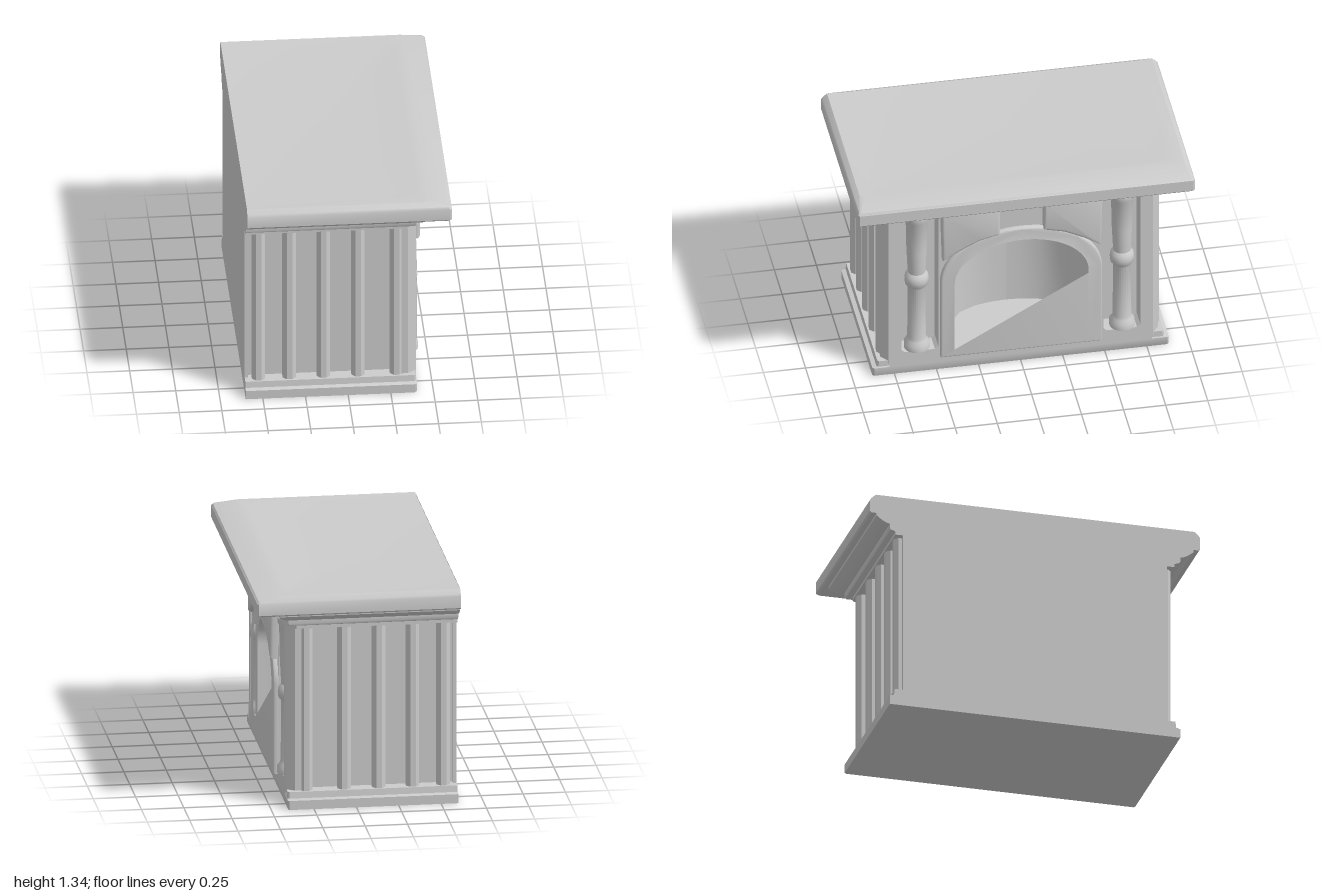
import * as THREE from 'three';
import { toCreasedNormals } from 'three/addons/utils/BufferGeometryUtils.js';

const material = new THREE.MeshStandardMaterial({ color: 0xcccccc });
const innerMaterial = new THREE.MeshStandardMaterial({ color: 0xcccccc, side: THREE.DoubleSide });

// Stack of flat-backed outlines, each [front x, half width z, y, corner bevel].
function stack(rings, topY) {
  const BACK = -0.6, n = 6, pos = [], index = [];
  for (const [xf, zh, y, b = 0.01] of rings) {
    pos.push(BACK, y, zh, xf - b, y, zh, xf, y, zh - b);
    pos.push(xf, y, b - zh, xf - b, y, -zh, BACK, y, -zh);
  }
  for (let r = 0; r < rings.length - 1; r++) {
    for (let i = 0; i < n; i++) {
      const a = r * n + i, b = r * n + (i + 1) % n;
      index.push(a, b, b + n, a, b + n, a + n);
    }
  }
  const last = (rings.length - 1) * n, low = rings.length * n, high = low + 1;
  pos.push(-0.1, rings[0][2], 0, -0.1, topY, 0);
  for (let i = 0; i < n; i++) {
    const j = (i + 1) % n;
    index.push(low, j, i, high, last + i, last + j);
  }
  const g = new THREE.BufferGeometry();
  g.setAttribute('position', new THREE.Float32BufferAttribute(pos, 3));
  g.setIndex(index);
  return toCreasedNormals(g, 0.6);
}

// Outline of the arched opening in the front plane.
function tracArch(path, half, bottom, spring, rise) {
  path.moveTo(-half, bottom);
  path.lineTo(-half, spring);
  path.absellipse(0, spring, half, rise, Math.PI, 0, true);
  path.lineTo(half, bottom);
  return path;
}
const opening = () => tracArch(new THREE.Path(), 0.41, 0.1, 0.62, 0.28);

function polygon(points, Type = THREE.Shape) {
  return new Type(points.map(([x, y]) => new THREE.Vector2(x, y)));
}

function rectangle(x0, x1, y0, y1, Type) {
  return polygon([[x0, y0], [x1, y0], [x1, y1], [x0, y1]], Type);
}

// Rectangle with clipped corners, for the column recesses.
function clippedRectangle(x0, x1, y0, y1, c) {
  return polygon([[x0 + c, y0], [x1 - c, y0], [x1, y0 + c], [x1, y1 - c],
    [x1 - c, y1], [x0 + c, y1], [x0, y1 - c], [x0, y0 + c]], THREE.Path);
}

// Extrude a front-plane shape from x0 to x1, optionally with a soft front edge.
function extrudeFront(shape, x0, x1, bevel = 0) {
  const g = new THREE.ExtrudeGeometry(shape, {
    depth: x1 - x0 - bevel, curveSegments: 32, bevelEnabled: bevel > 0,
    bevelSize: bevel, bevelThickness: bevel, bevelOffset: -bevel, bevelSegments: 3,
  });
  g.rotateY(Math.PI / 2);
  g.translate(x0, 0, 0);
  return toCreasedNormals(g, 0.7);
}

// Rounded niche: the arch outline narrows toward the back like an apse.
function nicheGeometry() {
  const outline = tracArch(new THREE.Path(), 0.409, 0.1, 0.62, 0.279).getPoints(32);
  const steps = [[0, 1, 1], [0.12, 1, 1], [0.22, 0.96, 0.98], [0.32, 0.86, 0.94],
    [0.4, 0.7, 0.9], [0.45, 0.45, 0.87], [0.47, 0.2, 0.86], [0.475, 0, 0.86]];
  const pos = [], index = [], n = outline.length;
  for (const [depth, wide, tall] of steps)
    for (const p of outline) pos.push(0.4 - depth, 0.1 + (p.y - 0.1) * tall, -p.x * wide);
  for (let s = 0; s < steps.length - 1; s++) {
    for (let i = 0; i < n - 1; i++) {
      const a = s * n + i;
      index.push(a, a + 1, a + n, a + 1, a + n + 1, a + n);
    }
  }
  const g = new THREE.BufferGeometry();
  g.setAttribute('position', new THREE.Float32BufferAttribute(pos, 3));
  g.setIndex(index);
  g.computeVertexNormals();
  return g;
}

export function createModel() {
  const model = new THREE.Group();
  const add = (name, geometry, mat = material) => {
    const mesh = new THREE.Mesh(geometry, mat);
    mesh.name = name;
    model.add(mesh);
    return mesh;
  };

  // Stepped base
  add('base', stack([[0.4, 0.88, 0], [0.405, 0.88, 0.01], [0.405, 0.88, 0.055],
    [0.4, 0.855, 0.062], [0.4, 0.85, 0.1]], 0.1));

  // Body core and flat back
  const core = rectangle(-0.77, 0.77, 0.05, 1.16);
  core.holes.push(opening());
  add('bodyCore', extrudeFront(core, -0.58, 0.29));
  add('backPanel', new THREE.BoxGeometry(0.02, 1.2, 1.6)).position.set(-0.59, 0.65, 0);

  // Front wall with the arch and two column recesses
  const wall = rectangle(-0.78, 0.78, 0.05, 1.16);
  wall.holes.push(opening());
  for (const s of [-1, 1]) wall.holes.push(clippedRectangle(s * 0.6 - 0.11, s * 0.6 + 0.11, 0.15, 1.11, 0.02));
  add('frontWall', extrudeFront(wall, 0.29, 0.405));
  add('niche', nicheGeometry(), innerMaterial);

  // Raised band around the arch
  const band = tracArch(new THREE.Shape(), 0.48, 0.1, 0.64, 0.33);
  band.holes.push(opening());
  add('archSurround', extrudeFront(band, 0.4, 0.435, 0.012));

  // Column profile: base, shaft, middle ring, tapered shaft and capital
  const profile = [[0, 0.15], [0.075, 0.15], [0.075, 0.19], [0.06, 0.21], [0.055, 0.23],
    [0.052, 0.59], [0.068, 0.61], [0.072, 0.64], [0.068, 0.67], [0.052, 0.69],
    [0.06, 0.85], [0.064, 1.05], [0.074, 1.07], [0.074, 1.1], [0, 1.11]];
  const columnGeometry = toCreasedNormals(
    new THREE.LatheGeometry(profile.map(([r, y]) => new THREE.Vector2(r, y)), 24), 0.7);

  for (const s of [-1, 1]) {
    const side = s > 0 ? 'left' : 'right';
    // Raised spandrel beside the top of the arch
    const points = [[0.13, 1.14], [0.13, 0.95], [0.25, 0.92], [0.37, 0.86], [0.47, 0.8], [0.48, 1.14]];
    add(side + 'Spandrel', extrudeFront(polygon(points.map(([z, y]) => [-s * z, y])), 0.4, 0.455, 0.02));

    add(side + 'Column', columnGeometry).position.set(0.355, 0, s * 0.61);

    // Chamfered corner pilaster
    const plan = polygon([[0.3, 0.74], [0.405, 0.74], [0.405, 0.785], [0.355, 0.825], [0.3, 0.825]]
      .map(([x, z]) => [x, -s * z]));
    const pilaster = new THREE.ExtrudeGeometry(plan, { depth: 1.05, bevelEnabled: false });
    pilaster.rotateX(-Math.PI / 2);
    add(side + 'CornerPilaster', pilaster).position.y = 0.08;

    // Vertical ribs on the side wall
    for (const x of [-0.52, -0.34, -0.14, 0.063, 0.288]) {
      const rib = new THREE.CylinderGeometry(0.042, 0.042, 1.02, 8);
      rib.rotateY(Math.PI / 8);
      add(side + 'Rib', toCreasedNormals(rib, 0.5)).position.set(x, 0.6, s * 0.8);
    }
  }

  // Cornice moulding, mantel slab and gently dished top
  add('mantel', stack([[0.36, 0.845, 1.095], [0.36, 0.845, 1.115], [0.4, 0.875, 1.125],
    [0.41, 0.88, 1.135], [0.41, 0.88, 1.16], [0.42, 0.9, 1.165], [0.445, 0.925, 1.178],
    [0.47, 0.96, 1.205], [0.47, 0.96, 1.22], [0.59, 0.99, 1.22], [0.6, 1, 1.23],
    [0.6, 1, 1.3], [0.59, 0.992, 1.313], [0.465, 0.965, 1.337, 0.02],
    [0.41, 0.885, 1.332, 0.08]], 1.305));

  return model;
}
